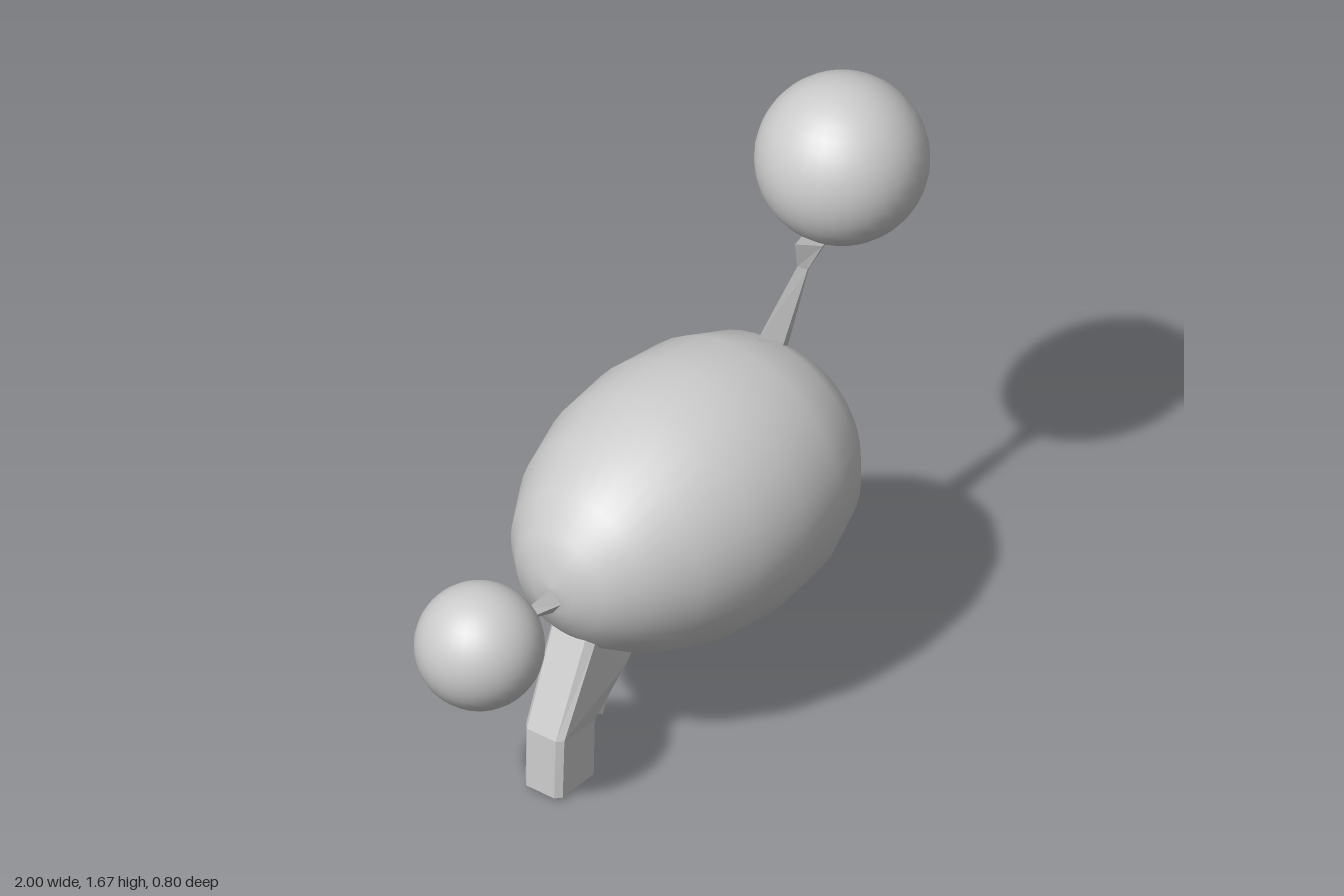
import * as THREE from 'three';

const smooth = new THREE.MeshStandardMaterial({ color: 0xcccccc });
const faceted = new THREE.MeshStandardMaterial({ color: 0xcccccc, flatShading: true });

const DIAMOND = [[-1, 0], [0, 1], [1, 0], [0, -1]];
const OCTAGON = [[-1, -0.75], [-1, 0.75], [-0.8, 1], [0.75, 1], [1, 0.6], [1, -0.6], [0.75, -1], [-0.8, -1]];
const BOX = [[-1, -1], [-1, 1], [1, 1], [1, -1]];

// Closed loft; each section is [ax, ay, bx, by, halfWidthZ], spanning a to b in the xy plane
function loft(name, outline, sections) {
  const n = outline.length;
  const positions = [];
  const index = [];
  for (const [ax, ay, bx, by, w] of sections) {
    for (const [u, v] of outline) {
      const t = (u + 1) / 2;
      positions.push(ax + (bx - ax) * t, ay + (by - ay) * t, v * w);
    }
  }
  for (let s = 0; s < sections.length - 1; s++) {
    for (let j = 0; j < n; j++) {
      const a = s * n + j;
      const b = s * n + (j + 1) % n;
      index.push(a, b, b + n, a, b + n, a + n);
    }
  }
  const top = (sections.length - 1) * n;
  for (let j = 1; j < n - 1; j++) {
    index.push(0, j + 1, j, top, top + j, top + j + 1);
  }
  const geometry = new THREE.BufferGeometry();
  geometry.setAttribute('position', new THREE.Float32BufferAttribute(positions, 3));
  geometry.setIndex(index);
  geometry.computeVertexNormals();
  const mesh = new THREE.Mesh(geometry, faceted);
  mesh.name = name;
  return mesh;
}

// Lathe turned to lie along x; profile points are [x, radius]
function turned(name, profile, segments, material) {
  const points = profile.map(([x, r]) => new THREE.Vector2(r, x));
  const mesh = new THREE.Mesh(new THREE.LatheGeometry(points, segments).rotateZ(-Math.PI / 2), material);
  mesh.name = name;
  mesh.position.y = 0.668;
  return mesh;
}

function ball(name, radius, x, y) {
  const mesh = new THREE.Mesh(new THREE.SphereGeometry(radius, 32, 20), smooth);
  mesh.name = name;
  mesh.position.set(x, y, 0);
  return mesh;
}

export function createModel() {
  const model = new THREE.Group();
  model.name = 'ballBlaster';

  // Egg-shaped shell, open at the muzzle
  model.add(turned('body', [
    [-0.51, 0], [-0.502, 0.075], [-0.47, 0.155], [-0.39, 0.24], [-0.25, 0.327], [-0.08, 0.384],
    [0.1, 0.402], [0.29, 0.382], [0.44, 0.325], [0.53, 0.25], [0.545, 0.215],
  ], 40, smooth));

  // Recessed bore with a flat floor
  model.add(turned('bore', [[0.545, 0.215], [0.25, 0.215], [0.25, 0]], 20, faceted));

  // Grip, bending up into the shell
  model.add(loft('grip', OCTAGON, [
    [-0.54, 0, -0.395, 0.005, 0.055],
    [-0.555, 0.012, -0.382, 0.02, 0.066],
    [-0.55, 0.2, -0.38, 0.2, 0.068],
    [-0.43, 0.48, -0.26, 0.3, 0.077],
    [-0.35, 0.56, -0.18, 0.38, 0.077],
  ]));

  // Trigger
  model.add(loft('trigger', BOX, [
    [-0.385, 0.205, -0.325, 0.162, 0.034],
    [-0.34, 0.34, -0.25, 0.3, 0.02],
  ]));

  // Rear ball on a waisted stem
  model.add(loft('rearStem', DIAMOND, [
    [-0.46, 0.578, -0.46, 0.675, 0.034],
    [-0.5, 0.585, -0.5, 0.67, 0.032],
    [-0.61, 0.622, -0.61, 0.658, 0.017],
    [-0.66, 0.6, -0.66, 0.695, 0.034],
  ]));
  model.add(ball('rearBall', 0.181, -0.819, 0.65));

  // Top ball on a waisted stem
  model.add(loft('topStem', DIAMOND, [
    [0.36, 0.98, 0.5, 0.89, 0.036],
    [0.39, 1.02, 0.53, 0.95, 0.035],
    [0.56, 1.17, 0.61, 1.135, 0.016],
    [0.55, 1.25, 0.7, 1.19, 0.037],
  ]));
  model.add(ball('topBall', 0.243, 0.755, 1.43));

  return model;
}
